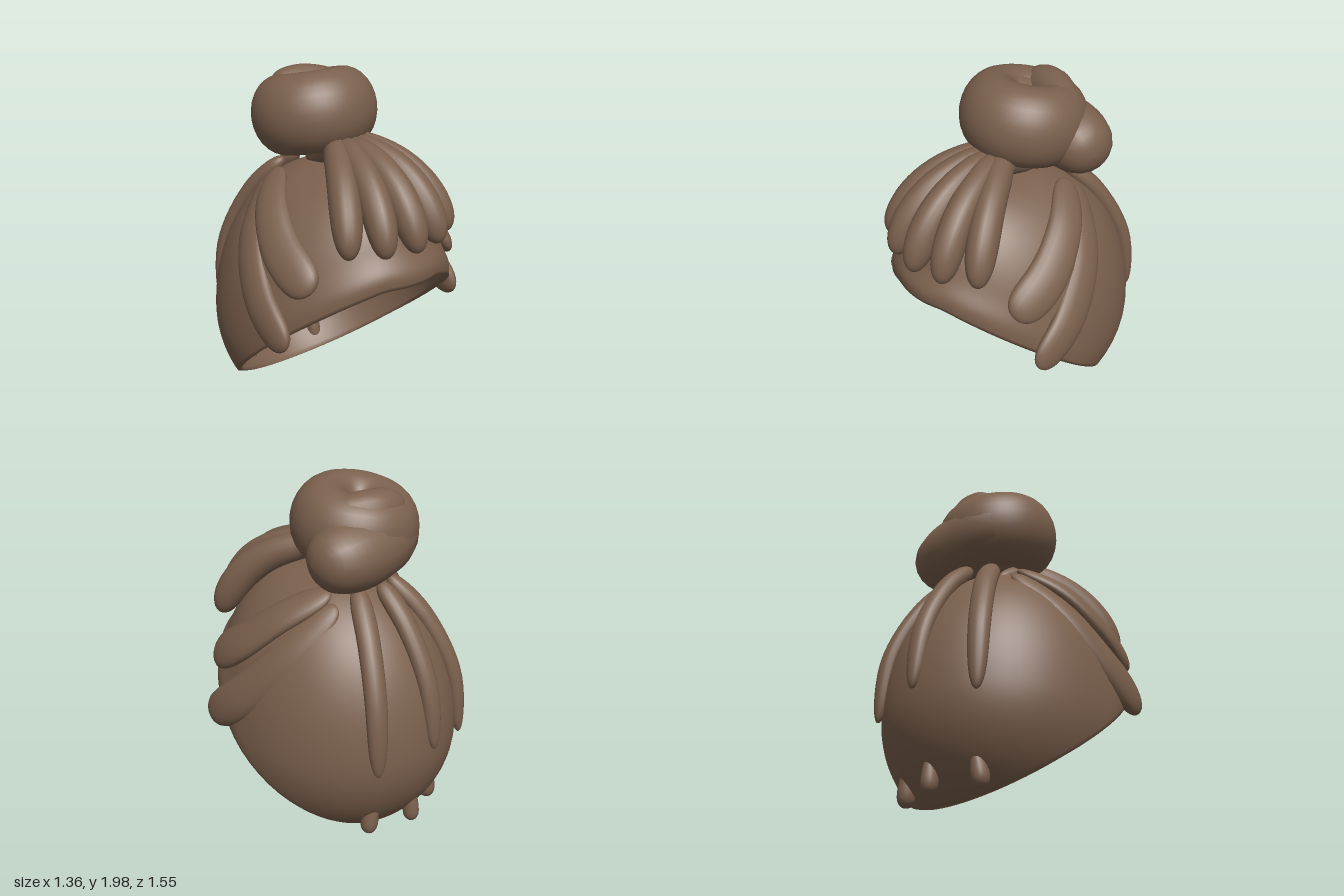
import * as THREE from 'three';

const V = (x, y, z) => new THREE.Vector3(x, y, z);
const lerp = THREE.MathUtils.lerp;
const CENTRE = V(0, 0.82, 0);

// Builds a smooth surface from closed rows of points
function loft(rows) {
  const n = rows[0].length, pos = [], index = [];
  rows.forEach(r => r.forEach(p => pos.push(p.x, p.y, p.z)));
  for (let i = 0; i < rows.length - 1; i++) {
    for (let j = 0; j < n; j++) {
      const k = (j + 1) % n;
      const a = i * n + j, b = i * n + k, c = (i + 1) * n + k, d = (i + 1) * n + j;
      index.push(a, b, c, a, c, d);
    }
  }
  const g = new THREE.BufferGeometry();
  g.setAttribute('position', new THREE.Float32BufferAttribute(pos, 3));
  g.setIndex(index);
  g.computeVertexNormals();
  return g;
}

// Point on the skull cap: azimuth a (0 = front), elevation e
function scalp(a, e) {
  const front = Math.max(0, Math.cos(a));
  const r = Math.pow(Math.max(0, Math.cos(e)), 1 - 0.4 * front * front);
  return V(0.66 * r * Math.sin(a),
    0.55 + (e > 0 ? 0.93 : 0.68) * Math.sin(e),
    (0.74 + 0.02 * front) * r * Math.cos(a));
}

// Elevation where the cap meets the slanted hairline
function rimElevation(a) {
  let lo = -1.2, hi = 1.5;
  for (let i = 0; i < 30; i++) {
    const mid = (lo + hi) / 2, p = scalp(a, mid);
    if (p.y > Math.min(0.94, 0.385 + 0.81 * p.z)) hi = mid; else lo = mid;
  }
  return hi;
}

// Open cap with a swollen front edge, folded over at the rim into an inner lining
function capGeometry() {
  const outer = [], inner = [], cols = 72, steps = 48;
  for (let i = 0; i <= steps; i++) {
    const t = i / steps, out = [], lining = [];
    const swell = 0.045 * Math.exp(-Math.pow((t - 0.92) / 0.08, 2));
    for (let j = 0; j < cols; j++) {
      const a = j / cols * Math.PI * 2;
      const p = scalp(a, lerp(Math.PI / 2, rimElevation(a), t));
      const k = 1 + swell * Math.max(0, Math.cos(a));
      out.push(V(p.x * k, p.y, p.z * k));
      lining.push(V(p.x * 0.955, lerp(p.y - 0.035, p.y, t), p.z * 0.955));
    }
    outer.push(out);
    inner.unshift(lining);
  }
  return loft([...outer, ...inner]);
}

// A lock of hair: oval section swept along a path, growing from `root` to full size, rounded tip
function lockGeometry(points, width, depth, root = 1, tip = 5) {
  const curve = new THREE.CatmullRomCurve3(points);
  const rows = [], steps = 28, sides = 18;
  for (let i = 0; i <= steps; i++) {
    const t = (1 - Math.cos(Math.PI * i / steps)) / 2;
    const p = curve.getPoint(t), T = curve.getTangent(t);
    const N = p.clone().sub(CENTRE);
    N.addScaledVector(T, -N.dot(T)).normalize();
    const S = N.clone().cross(T);
    const s = lerp(root, 1, t) *
      Math.sqrt(Math.max(0, (1 - Math.pow(t, tip)) * (1 - Math.pow(1 - t, 14))));
    const row = [];
    for (let j = 0; j < sides; j++) {
      const q = j / sides * Math.PI * 2;
      row.push(p.clone().addScaledVector(S, width * s * Math.cos(q))
        .addScaledVector(N, depth * s * Math.sin(q)));
    }
    rows.push(row);
  }
  return loft(rows);
}

export function createModel() {
  const group = new THREE.Group();
  group.name = 'hairWithBun';
  const hair = new THREE.MeshStandardMaterial({ color: 0x7b604d, side: THREE.DoubleSide });
  hair.name = 'brownHair';
  const add = (name, geometry) => {
    const m = new THREE.Mesh(geometry, hair);
    m.name = name;
    group.add(m);
    return m;
  };
  // Adds a lock on both sides of the head
  const addPair = (name, pts, ...size) => {
    for (const s of [1, -1]) {
      add(name + (s > 0 ? 'Left' : 'Right'),
        lockGeometry(pts.map(([x, y, z]) => V(s * x, y, z)), ...size));
    }
  };
  const addMid = (name, pts, ...size) => add(name, lockGeometry(pts.map(p => V(...p)), ...size));

  add('cap', capGeometry());

  // Fan of five swept locks rising from under the bun and falling over the forehead
  for (let i = -2; i <= 2; i++) {
    const a = i * 0.3, pts = [V(i * 0.03, 1.46, -0.14)];
    for (let k = 0; k <= 6; k++) {
      const p = scalp(a, lerp(1.47, 0.63, k / 6));
      const out = p.clone().sub(CENTRE).normalize();
      pts.push(p.addScaledVector(out, lerp(0.1, 0.075, k / 6)));
    }
    add('frontLock' + (i + 3), lockGeometry(pts, 0.1, 0.11, 0.7, 7));
  }

  // Wide locks over the temples and ears
  addPair('templeLock', [[0.24, 1.42, -0.19], [0.42, 1.28, 0], [0.51, 1.1, 0.22], [0.51, 0.94, 0.47]],
    0.14, 0.065, 0.6, 11);
  addPair('earLock', [[0.26, 1.36, -0.25], [0.5, 1.08, -0.08], [0.61, 0.82, 0.14], [0.63, 0.62, 0.4]],
    0.13, 0.06, 0.75, 11);

  // Thin locks down the back
  addMid('backLock', [[0, 1.45, -0.33], [0, 1.25, -0.52], [0, 0.95, -0.68], [0, 0.57, -0.75]],
    0.06, 0.05, 1.1, 9);
  addPair('backLock', [[0.13, 1.44, -0.28], [0.24, 1.22, -0.46], [0.33, 0.9, -0.6], [0.36, 0.5, -0.65]],
    0.06, 0.05, 1.1, 9);

  // Tapered locks lining the inside of the cap
  addMid('innerLock', [[0, 1.25, -0.4], [0, 0.93, -0.61], [0, 0.6, -0.68], [0, 0.3, -0.64]],
    0.09, 0.06, 1, 1.3);
  addPair('innerLock', [[0.16, 1.22, -0.36], [0.21, 0.9, -0.55], [0.27, 0.6, -0.6], [0.29, 0.33, -0.55]],
    0.15, 0.06, 1, 2);

  // Small drop-shaped ends piercing the cap at the nape
  addMid('napeTip', [[0, 0.36, -0.63], [0, 0.2, -0.6], [0, 0.04, -0.6]], 0.065, 0.07, 0.05, 6);
  addPair('napeTip', [[0.23, 0.35, -0.57], [0.25, 0.2, -0.52], [0.27, 0.04, -0.5]], 0.07, 0.075, 0.05, 6);

  // Coiled bun: dimpled ring, thick tail wrapping low around the back, end curling over the top
  const ring = add('bunRing', new THREE.TorusGeometry(0.18, 0.178, 28, 56)
    .rotateX(Math.PI / 2).scale(1, 1.27, 1));
  ring.position.set(-0.025, 1.735, -0.12);
  ring.rotation.x = -0.22;
  addMid('bunTail', [[-0.17, 1.76, 0], [-0.17, 1.74, -0.16], [-0.09, 1.69, -0.26], [0.08, 1.65, -0.285],
    [0.24, 1.63, -0.27], [0.42, 1.61, -0.22]], 0.22, 0.21, 0.9, 9);
  addMid('bunCurl', [[0.17, 1.77, -0.08], [0.15, 1.81, -0.2], [0.05, 1.835, -0.28], [-0.06, 1.84, -0.31],
    [-0.18, 1.83, -0.32]], 0.12, 0.13, 1, 6);
  return group;
}
